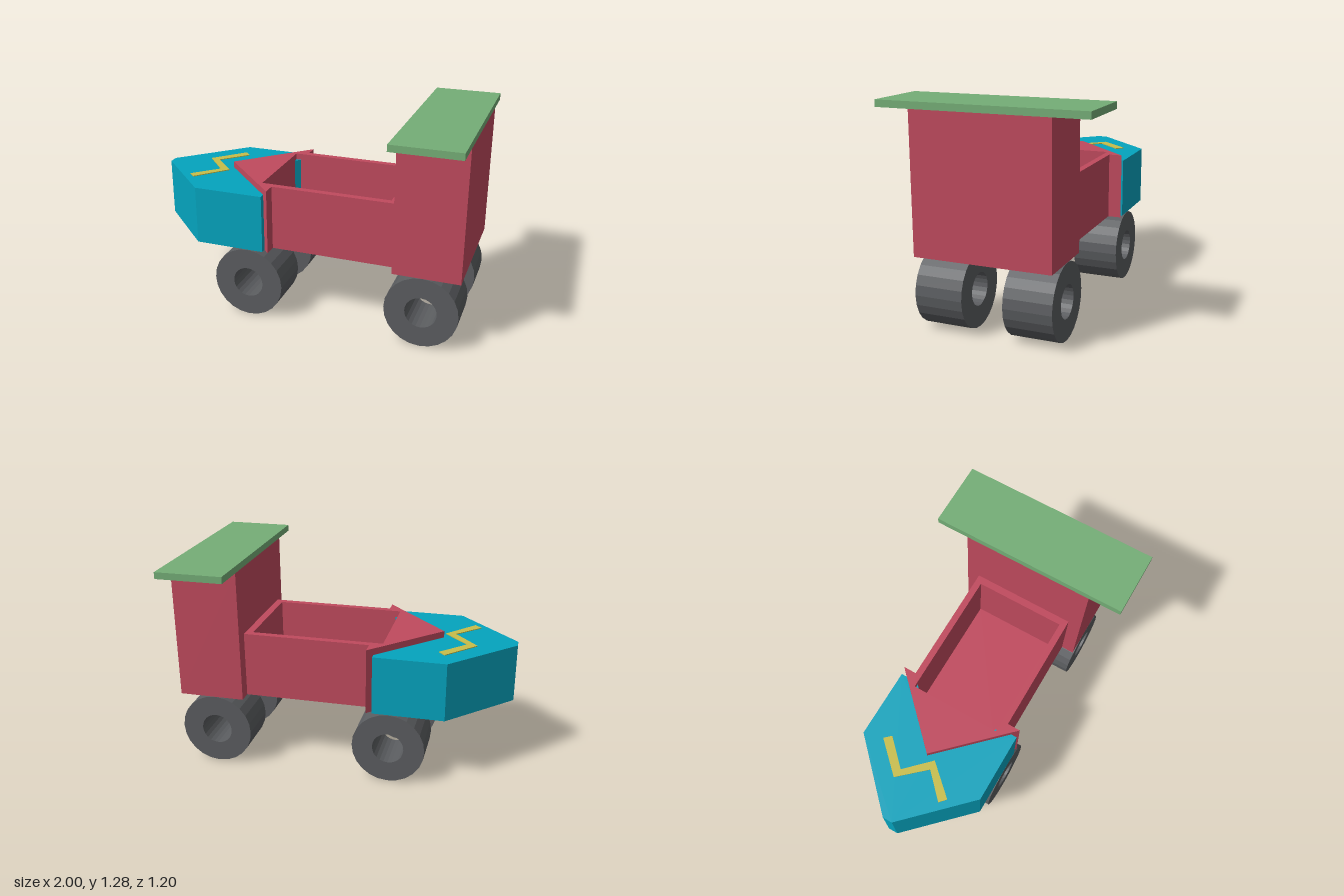
import * as THREE from 'three';

const paint = (color) => new THREE.MeshStandardMaterial({ color, flatShading: true });
const red = paint(0xc04a5e);
const teal = paint(0x04a4be);
const green = paint(0x75ae77);
const yellow = paint(0xc8be4a);
const rubber = paint(0x5b5d60);

// Turns a list of [x, z] corners into 2D points for a plan outline
const plan = (corners) => corners.map(([x, z]) => new THREE.Vector2(x, -z));

export function createModel() {
  const model = new THREE.Group();

  function add(name, geometry, material) {
    const mesh = new THREE.Mesh(geometry, material);
    mesh.name = name;
    model.add(mesh);
    return mesh;
  }

  // Vertical prism over a plan outline, from y0 to y1; a hole runs opposite to its outline
  function prism(name, corners, y0, y1, material, hole) {
    const shape = new THREE.Shape(plan(corners));
    if (hole) shape.holes.push(new THREE.Path(plan(hole)));
    const geometry = new THREE.ExtrudeGeometry(shape, { depth: y1 - y0, bevelEnabled: false });
    geometry.rotateX(-Math.PI / 2).translate(0, y0, 0);
    add(name, geometry, material);
  }

  function box(name, x0, x1, y0, y1, depth, material) {
    const geometry = new THREE.BoxGeometry(x1 - x0, y1 - y0, depth);
    add(name, geometry, material).position.set((x0 + x1) / 2, (y0 + y1) / 2, 0);
  }

  // Tall end block with an overhanging roof
  box('cab', 0.6, 1, 0.44, 1.24, 0.8, red);
  box('roof', 0.6, 1, 1.24, 1.28, 1.2, green);

  // Open tray whose end widens into an arrow-shaped wedge
  const opening = [[-0.24, 0.28], [0.555, 0.28], [0.555, -0.28], [-0.24, -0.28]];
  prism('tray', [
    [0.6, 0.32], [-0.165, 0.32], [-0.165, 0.4], [-0.56, 0],
    [-0.165, -0.4], [-0.165, -0.32], [0.6, -0.32],
  ], 0.44, 0.84, red, opening);
  prism('trayFloor', opening, 0.44, 0.48, red);

  // Pointed nose, notched to receive the wedge
  prism('nose', [
    [-1, 0.03], [-0.63, 0.4], [-0.2, 0.4], [-0.2, 0.29], [-0.49, 0],
    [-0.2, -0.29], [-0.2, -0.4], [-0.63, -0.4], [-1, -0.03],
  ], 0.442, 0.8, teal);

  // Raised zigzag stripe on the nose
  prism('zigzagStripe', [
    [-0.6, -0.28], [-0.77, -0.1], [-0.625, 0.06], [-0.767, 0.2],
    [-0.727, 0.237], [-0.565, 0.055], [-0.71, -0.09], [-0.562, -0.24],
  ], 0.79, 0.805, yellow);

  // Four thick ring wheels
  const inner = 0.095, outer = 0.22, half = 0.14;
  const section = [[inner, -half], [outer, -half], [outer, half], [inner, half], [inner, -half]];
  const ring = new THREE.LatheGeometry(section.map(([r, y]) => new THREE.Vector2(r, y)), 24);
  ring.rotateX(Math.PI / 2);
  for (const [end, x] of [['nose', -0.3], ['cab', 0.78]]) {
    for (const [side, z] of [['Front', 0.26], ['Back', -0.26]]) {
      add(`${end}Wheel${side}`, ring, rubber).position.set(x, 0.22, z);
    }
  }

  return model;
}
